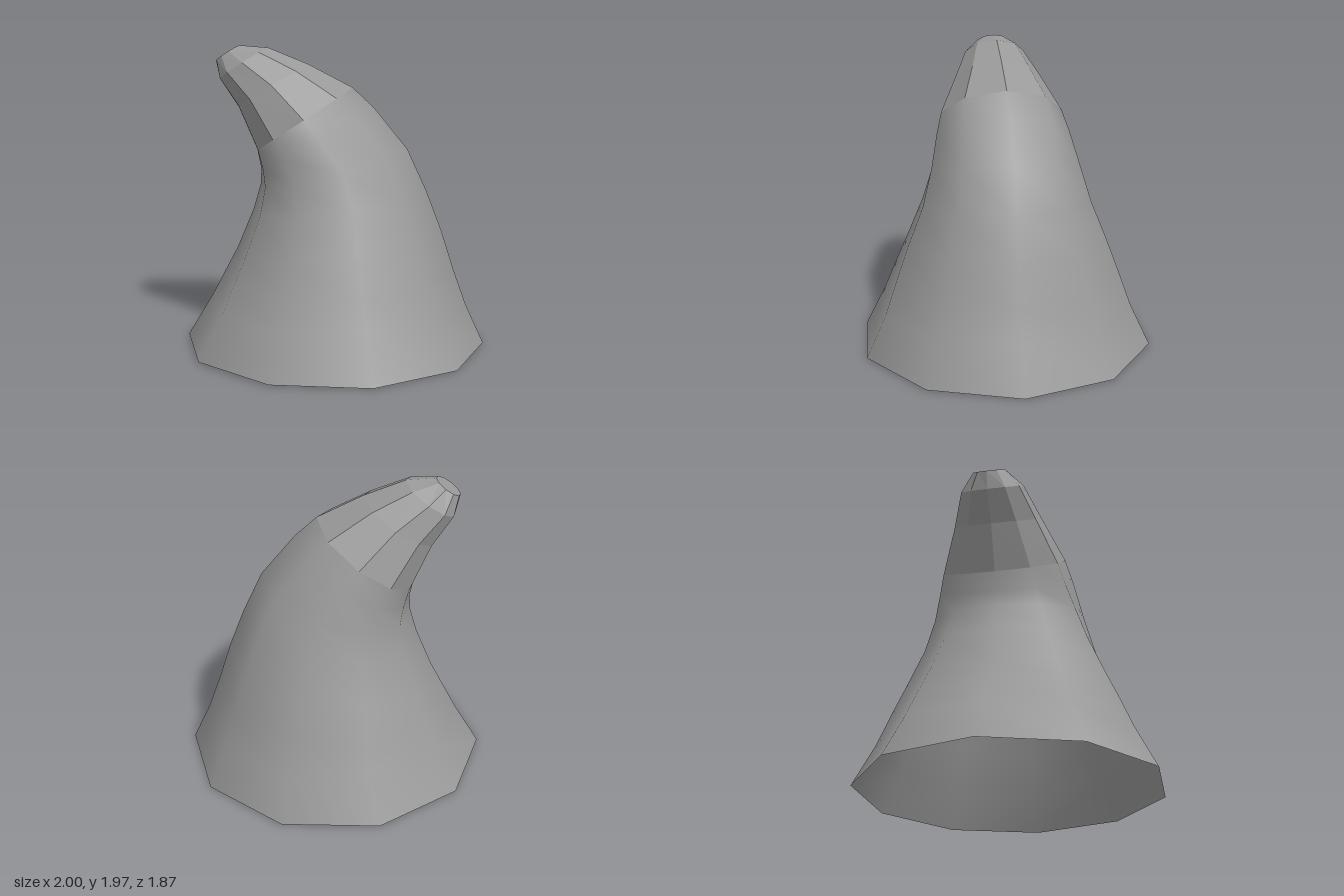
import * as THREE from 'three';

const SIDES = 10;

// Each ring: outer x, y (right edge), inner x, y (left edge), half depth in z, egg-shape skew
const RINGS = [
  [1.0, 0.01, -1.0, 0.02, 0.985, 0],
  [0.88, 0.27, -0.83, 0.3, 0.85, 0.02],
  [0.79, 0.52, -0.735, 0.48, 0.765, 0.04],
  [0.71, 0.77, -0.65, 0.64, 0.68, 0.06],
  [0.61, 1.03, -0.54, 0.9, 0.57, 0.08],
  [0.48, 1.31, -0.49, 1.07, 0.5, 0.12],
  [0.26, 1.58, -0.485, 1.17, 0.45, 0.17],
  [0.12, 1.71, -0.51, 1.3, 0.41, 0.2],
  [-0.17, 1.86, -0.63, 1.58, 0.29, 0.2],
  [-0.43, 1.965, -0.75, 1.76, 0.205, 0.2],
  [-0.62, 1.98, -0.775, 1.88, 0.105, 0],
];

// Skin a run of tilted rings; optionally close the last one with a flat cap
function loft(rings, capped) {
  const pos = [], index = [];
  for (const [rx, ry, lx, ly, depth, skew] of rings) {
    for (let i = 0; i < SIDES; i++) {
      const a = (i / SIDES) * Math.PI * 2;
      const c = Math.cos(a), s = Math.sin(a);
      const t = (c - skew * s * s + 1) / 2;
      // the inner side of the bend is a little narrower than the outer side
      pos.push(lx + (rx - lx) * t, ly + (ry - ly) * t, depth * s * (1 + 0.5 * skew * c));
    }
  }
  for (let j = 0; j < rings.length - 1; j++) {
    for (let i = 0; i < SIDES; i++) {
      const a = j * SIDES + i, b = j * SIDES + ((i + 1) % SIDES);
      index.push(a, a + SIDES, b + SIDES, a, b + SIDES, b);
    }
  }
  if (capped) {
    const first = (rings.length - 1) * SIDES;
    for (let i = 1; i < SIDES - 1; i++) index.push(first, first + i + 1, first + i);
  }
  const geo = new THREE.BufferGeometry();
  geo.setAttribute('position', new THREE.Float32BufferAttribute(pos, 3));
  geo.setIndex(index);
  return geo;
}

export function createModel() {
  const group = new THREE.Group();
  group.name = 'curvedHorn';

  // Smooth flared body, open at the bottom
  const bodyGeo = loft(RINGS.slice(0, 8), false);
  bodyGeo.computeVertexNormals();
  const body = new THREE.Mesh(bodyGeo,
    new THREE.MeshStandardMaterial({ color: 0x999999, side: THREE.DoubleSide }));
  body.name = 'hornBody';

  // Faceted bent tip with a small flat end
  const tipGeo = loft(RINGS.slice(7), true).toNonIndexed();
  tipGeo.computeVertexNormals();
  const tip = new THREE.Mesh(tipGeo,
    new THREE.MeshStandardMaterial({ color: 0x999999, side: THREE.DoubleSide, flatShading: true }));
  tip.name = 'hornTip';

  group.add(body, tip);
  return group;
}
